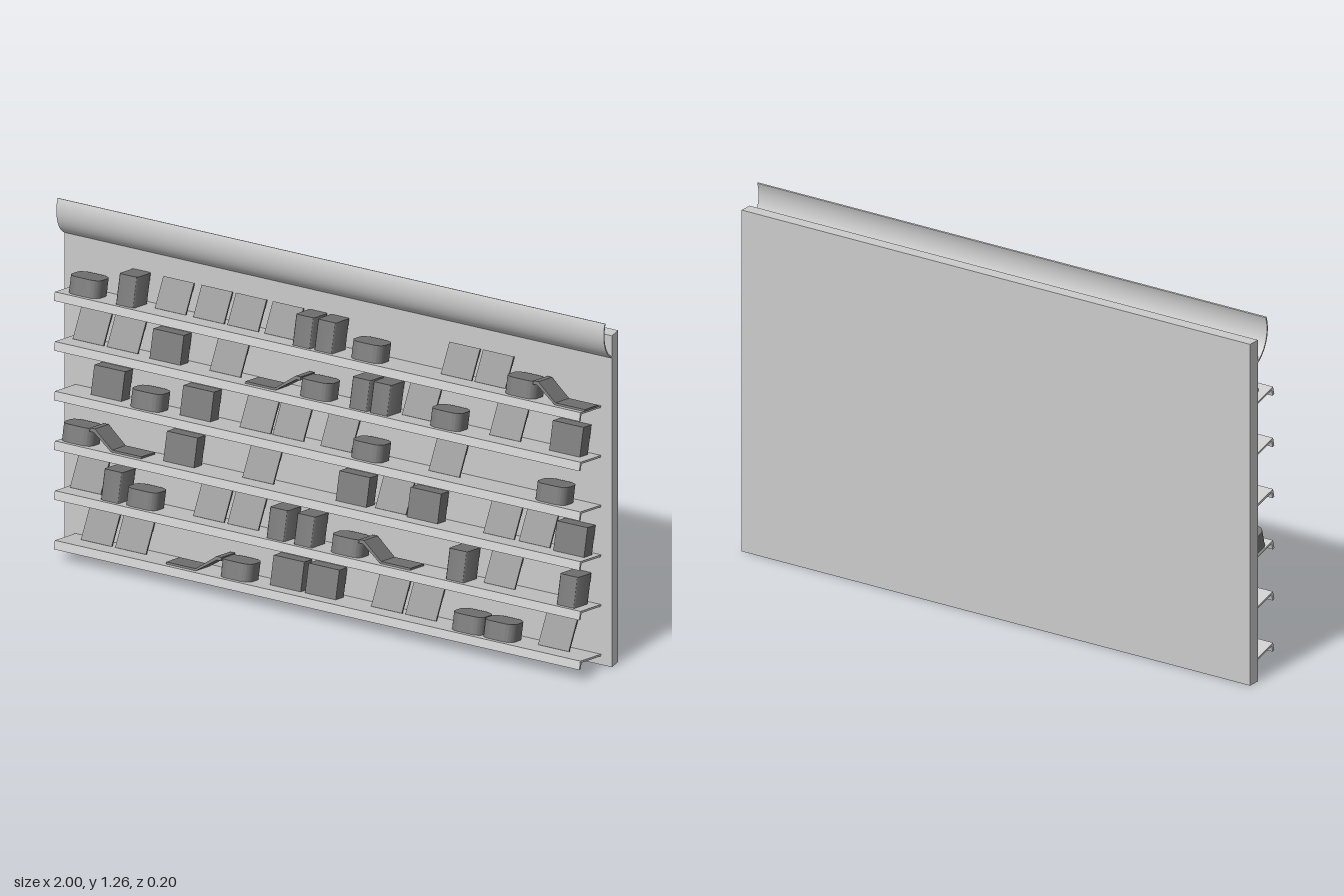
import * as THREE from 'three';
import { toCreasedNormals } from 'three/addons/utils/BufferGeometryUtils.js';

const grey = new THREE.MeshStandardMaterial({ color: 0xcccccc, side: THREE.DoubleSide });
const dark = new THREE.MeshStandardMaterial({ color: 0x777777 });

const TILT = 0.26;      // shelves rise towards the front
const PITCH = 0.18;     // distance between shelves
const PANEL_Z = -0.055; // front face of the back panel

function mesh(name, geometry, material, parent) {
  const m = new THREE.Mesh(geometry, material);
  m.name = name;
  parent.add(m);
  return m;
}

// Extrudes a (z, y) profile along x, centred on x = 0
function extrudeAlongX(points, length) {
  const shape = new THREE.Shape(points.map(([z, y]) => new THREE.Vector2(z, y)));
  const g = new THREE.ExtrudeGeometry(shape, { depth: length, bevelEnabled: false });
  g.translate(0, 0, -length / 2).rotateY(-Math.PI / 2);
  return toCreasedNormals(g, 0.6);
}

// Upright block with a rounded-rectangle plan, standing on y = 0
function roundedBlock(w, h, d, r) {
  const s = new THREE.Shape();
  const x = w / 2, y = d / 2;
  s.moveTo(-x + r, -y);
  s.lineTo(x - r, -y).absarc(x - r, -y + r, r, -Math.PI / 2, 0);
  s.lineTo(x, y - r).absarc(x - r, y - r, r, 0, Math.PI / 2);
  s.lineTo(-x + r, y).absarc(-x + r, y - r, r, Math.PI / 2, Math.PI);
  s.lineTo(-x, -y + r).absarc(-x + r, -y + r, r, Math.PI, Math.PI * 1.5);
  const g = new THREE.ExtrudeGeometry(s, { depth: h, bevelEnabled: false, curveSegments: 6 });
  return toCreasedNormals(g.rotateX(-Math.PI / 2), 0.6);
}

// Sheet that slopes down from a round pack and runs flat along the shelf
function drapeGeometry() {
  const s = new THREE.Shape([
    [0.05, 0.052], [0.065, 0.052], [0.135, 0.001], [0.245, 0.001],
    [0.245, 0.008], [0.138, 0.008], [0.068, 0.064], [0.05, 0.064],
  ].map(([x, y]) => new THREE.Vector2(x, y)));
  const g = new THREE.ExtrudeGeometry(s, { depth: 0.1, bevelEnabled: false });
  return g.translate(0, 0, -0.05);
}

const goods = {
  R: { name: 'roundedPack', z: 0.08, geo: roundedBlock(0.112, 0.06, 0.1, 0.032) },
  T: { name: 'tallBox', z: 0.08, geo: roundedBlock(0.067, 0.104, 0.103, 0.008) },
  B: { name: 'box', z: 0.057, geo: new THREE.BoxGeometry(0.112, 0.1, 0.058).translate(0, 0.05, 0) },
  C: { name: 'leaningCard', z: 0.064, geo: new THREE.BoxGeometry(0.112, 0.108, 0.008).translate(0, 0.054, 0).rotateX(-0.33) },
};
goods.P = goods.R; // rounded pack with a sheet to its right in the front
goods.M = goods.R; // rounded pack with a sheet on the opposite side
const drape = drapeGeometry();
const drapeMirrored = drapeGeometry().rotateY(Math.PI);

// Goods on each shelf, bottom first: [kind, x]
const rows = [
  [['C', -0.85], ['C', -0.725], ['M', -0.32], ['B', -0.15], ['B', -0.022], ['C', 0.21], ['C', 0.335],
    ['R', 0.525], ['R', 0.64], ['C', 0.82]],
  [['C', -0.89], ['T', -0.77], ['R', -0.665], ['C', -0.44], ['C', -0.315], ['T', -0.165], ['T', -0.065],
    ['P', 0.083], ['T', 0.49], ['C', 0.622], ['T', 0.895]],
  [['P', -0.9], ['B', -0.54], ['C', -0.26], ['B', 0.09], ['C', 0.225], ['B', 0.35], ['C', 0.62],
    ['C', 0.75], ['B', 0.885]],
  [['B', -0.805], ['R', -0.65], ['B', -0.48], ['C', -0.27], ['C', -0.15], ['C', 0.025], ['R', 0.157],
    ['C', 0.42], ['R', 0.83]],
  [['C', -0.88], ['C', -0.755], ['B', -0.59], ['C', -0.38], ['M', -0.03], ['T', 0.137], ['T', 0.213],
    ['C', 0.323], ['R', 0.445], ['C', 0.642], ['B', 0.87]],
  [['R', -0.875], ['T', -0.715], ['C', -0.58], ['C', -0.44], ['C', -0.315], ['C', -0.18], ['T', -0.07],
    ['T', 0.01], ['R', 0.157], ['C', 0.465], ['C', 0.588], ['P', 0.72]],
];

export function createModel() {
  const model = new THREE.Group();
  model.name = 'wallShelfDisplay';

  // Back panel
  mesh('backPanel', new THREE.BoxGeometry(2, 1.2, 0.045), grey, model).position.set(0, 0.6, -0.0775);

  // Curved canopy: thin arc section
  const outer = [], inner = [];
  for (let i = 0; i <= 16; i++) {
    const a = -1.03 + (1.39 * i) / 16;
    const at = (r) => [-0.12 + r * Math.cos(a), 1.222 + r * Math.sin(a)];
    outer.push(at(0.122));
    inner.unshift(at(0.117));
  }
  mesh('canopy', extrudeAlongX([...outer, ...inner], 2), grey, model);

  // Tilted shelves with a front lip
  const shelfGeo = extrudeAlongX([
    [0, -0.007], [0.14, -0.007], [0.14, -0.03], [0.15, -0.03], [0.15, 0], [0, 0],
  ], 1.92);

  rows.forEach((row, k) => {
    const shelf = new THREE.Group();
    shelf.name = 'shelfRow' + (k + 1);
    shelf.position.set(0, 0.038 + PITCH * k, PANEL_Z);
    shelf.rotation.x = -TILT;
    model.add(shelf);
    mesh('shelf', shelfGeo, grey, shelf);
    for (const [kind, x] of row) {
      const { name, z, geo } = goods[kind];
      mesh(name, geo, dark, shelf).position.set(x, 0, z);
      if (kind === 'P') mesh('drapedSheet', drape, dark, shelf).position.set(x, 0, z);
      if (kind === 'M') mesh('drapedSheet', drapeMirrored, dark, shelf).position.set(x, 0, z);
    }
  });

  return model;
}
